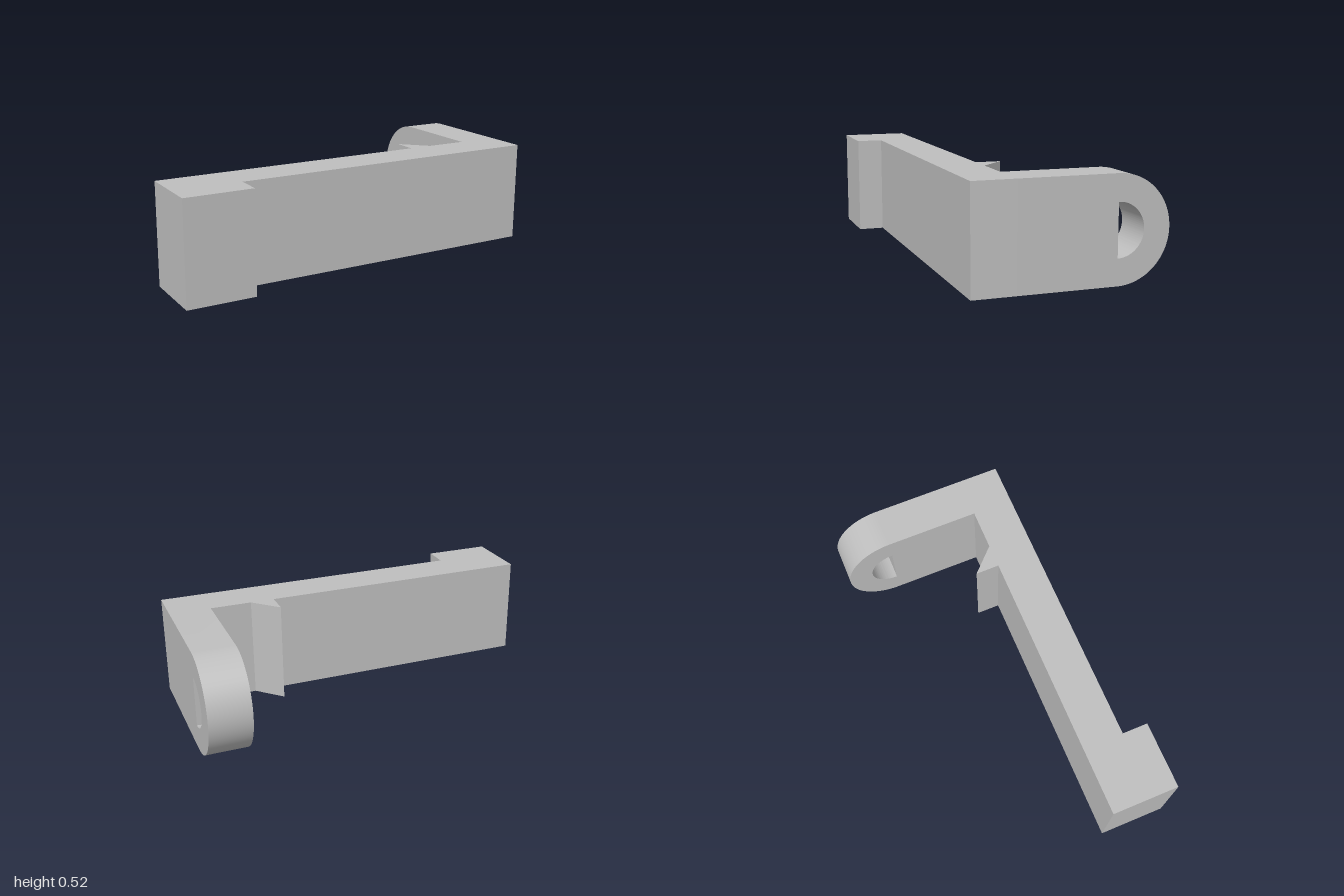
import * as THREE from 'three';
import { toCreasedNormals } from 'three/addons/utils/BufferGeometryUtils.js';

const HEIGHT = 0.523;
const MID = HEIGHT / 2;

export function createModel() {
  const group = new THREE.Group();
  group.name = 'latchBracket';
  const grey = new THREE.MeshStandardMaterial({ color: 0xbfbfbf });
  grey.name = 'plain grey';

  const addPart = (name, shape, depth) => {
    const raw = new THREE.ExtrudeGeometry(shape, { depth, bevelEnabled: false, curveSegments: 40 });
    const mesh = new THREE.Mesh(toCreasedNormals(raw, 0.5), grey);
    mesh.name = name;
    group.add(mesh);
    return mesh;
  };

  // Long bar with a stepped end pad and a small ratchet tooth, drawn from above as (x, z)
  const plan = [
    [-1, 0.55], [-0.65, 0.55], [-0.65, 0.415], [1, 0.415], [1, 0.2],
    [0.57, 0.2], [0.445, 0.075], [0.445, 0.2], [-1, 0.2],
  ];
  const barShape = new THREE.Shape(plan.map(([x, z]) => new THREE.Vector2(x, -z)));
  addPart('bar', barShape, HEIGHT).rotation.x = -Math.PI / 2;

  // Rounded arm running backwards, drawn from the side as (-z, y)
  const armShape = new THREE.Shape();
  armShape.moveTo(-0.2, 0);
  armShape.lineTo(0.29, 0);
  armShape.absarc(0.29, MID, MID, -Math.PI / 2, Math.PI / 2, false);
  armShape.lineTo(-0.2, HEIGHT);
  armShape.closePath();

  // Half-round slot through the arm
  const slot = new THREE.Path();
  slot.absarc(0.29, MID, 0.131, -Math.PI / 2, Math.PI / 2, false);
  slot.closePath();
  armShape.holes.push(slot);

  const arm = addPart('arm', armShape, 0.215);
  arm.rotation.y = Math.PI / 2;
  arm.position.x = 0.785;

  return group;
}
